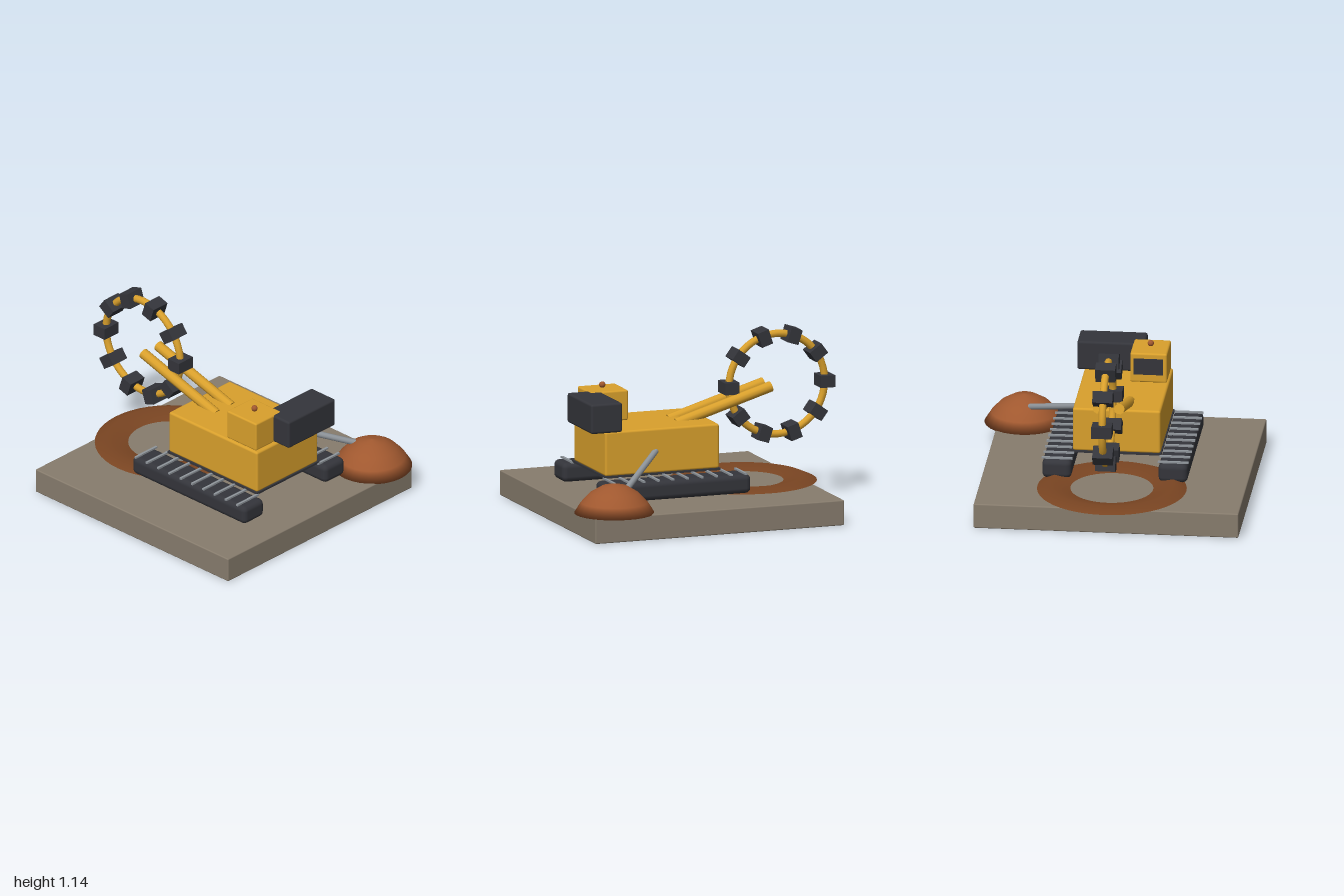
import * as THREE from 'three';
import { RoundedBoxGeometry } from 'three/addons/geometries/RoundedBoxGeometry.js';

const material = (name, color) => {
  const m = new THREE.MeshStandardMaterial({ color });
  m.name = name;
  return m;
};

export function createModel() {
  const yellow = material('machine yellow', 0xd9a02c);
  const dark = material('charcoal', 0x34353b);
  const stone = material('stone grey', 0x877c6d);
  const rust = material('rust earth', 0xa0582f);
  const soil = material('dark soil', 0x7a4522);
  const steel = material('steel', 0x8f959b);

  const model = new THREE.Group();
  model.name = 'bucketWheelExcavator';

  const add = (name, geometry, mat, x = 0, y = 0, z = 0, parent = model) => {
    const mesh = new THREE.Mesh(geometry, mat);
    mesh.name = name;
    mesh.position.set(x, y, z);
    parent.add(mesh);
    return mesh;
  };
  // Box given by its min and max on each axis; r rounds the edges
  const box = (name, mat, [x0, x1], [y0, y1], [z0, z1], r = 0) => {
    const s = [x1 - x0, y1 - y0, z1 - z0];
    const g = r ? new RoundedBoxGeometry(...s, 2, r) : new THREE.BoxGeometry(...s);
    return add(name, g, mat, (x0 + x1) / 2, (y0 + y1) / 2, (z0 + z1) / 2);
  };
  // Straight rod between two points
  const rod = (name, mat, a, b, radius, sides) => {
    const from = new THREE.Vector3(...a), to = new THREE.Vector3(...b);
    const dir = to.clone().sub(from);
    const mesh = add(name, new THREE.CylinderGeometry(radius, radius, dir.length(), sides), mat);
    mesh.position.copy(from).add(to).multiplyScalar(0.5);
    mesh.quaternion.setFromUnitVectors(new THREE.Vector3(0, 1, 0), dir.normalize());
    return mesh;
  };
  const lathe = (points, sides) =>
    new THREE.LatheGeometry(points.map(([x, y]) => new THREE.Vector2(x, y)), sides);

  const midZ = 0.04;

  // Ground slab, dug ring and spoil heap
  box('groundSlab', stone, [-0.76, 0.93], [0, 0.163], [-0.803, 0.885], 0.008);
  add('dugRing', lathe([[0.475, 0.163], [0.395, 0.197], [0.263, 0.165]], 48), soil, -0.39, 0, midZ);
  const heap = [[0, 0.16], [0.255, 0.16], [0.212, 0.228], [0.155, 0.288], [0.08, 0.332], [0, 0.348]];
  add('spoilHeap', lathe(heap, 28), rust, 0.738, 0, -0.636);

  // Crawler tracks with cleats
  for (const side of [-1, 1]) {
    const z = midZ + 0.005 + side * 0.37;
    box('track', dark, [-0.28, 0.715], [0.168, 0.292], [z - 0.094, z + 0.094], 0.035);
    for (let i = 0; i < 10; i++) {
      const x = -0.24 + i * 0.099;
      box('trackCleat', steel, [x - 0.008, x + 0.008], [0.291, 0.303], [z - 0.098, z + 0.098]);
    }
  }

  // Body, deck plate, counterweight
  box('deckPlate', dark, [-0.135, 0.652], [0.298, 0.312], [-0.245, 0.328]);
  box('body', yellow, [-0.13, 0.645], [0.308, 0.596], [-0.238, 0.322], 0.015);
  box('counterweight', dark, [0.545, 0.757], [0.598, 0.789], [-0.282, 0.148], 0.015);

  // Cab with window and beacon
  box('cab', yellow, [0.368, 0.625], [0.596, 0.792], [0.075, 0.31], 0.012);
  box('cabWindow', dark, [0.363, 0.371], [0.65, 0.757], [0.098, 0.284]);
  add('beacon', new THREE.SphereGeometry(0.02, 16, 12), rust, 0.5, 0.814, 0.193);

  // Twin boom arms
  for (const side of [-1, 1]) {
    const z = midZ - 0.003 + side * 0.068;
    rod('boomArm', yellow, [-0.56, 0.768, z], [0.085, 0.574, z], 0.034, 10);
  }

  // Discharge conveyor
  rod('dischargeConveyor', steel, [0.29, 0.452, -0.215], [0.632, 0.3, -0.59], 0.02, 10);

  // Bucket wheel: rim and ten buckets
  const wheel = new THREE.Group();
  wheel.name = 'bucketWheel';
  wheel.position.set(-0.625, 0.768, midZ - 0.003);
  model.add(wheel);
  const R = 0.325;
  add('wheelRim', new THREE.TorusGeometry(R, 0.024, 10, 48), yellow, 0, 0, 0, wheel);
  const bucket = new THREE.BoxGeometry(0.097, 0.077, 0.128);
  for (let i = 0; i < 10; i++) {
    const a = (i / 10) * Math.PI * 2;
    add('bucket', bucket, dark, R * Math.cos(a), R * Math.sin(a), 0, wheel).rotation.z = a;
  }

  // Lathe profiles: the ring is an open surface
  soil.side = THREE.DoubleSide;
  return model;
}
